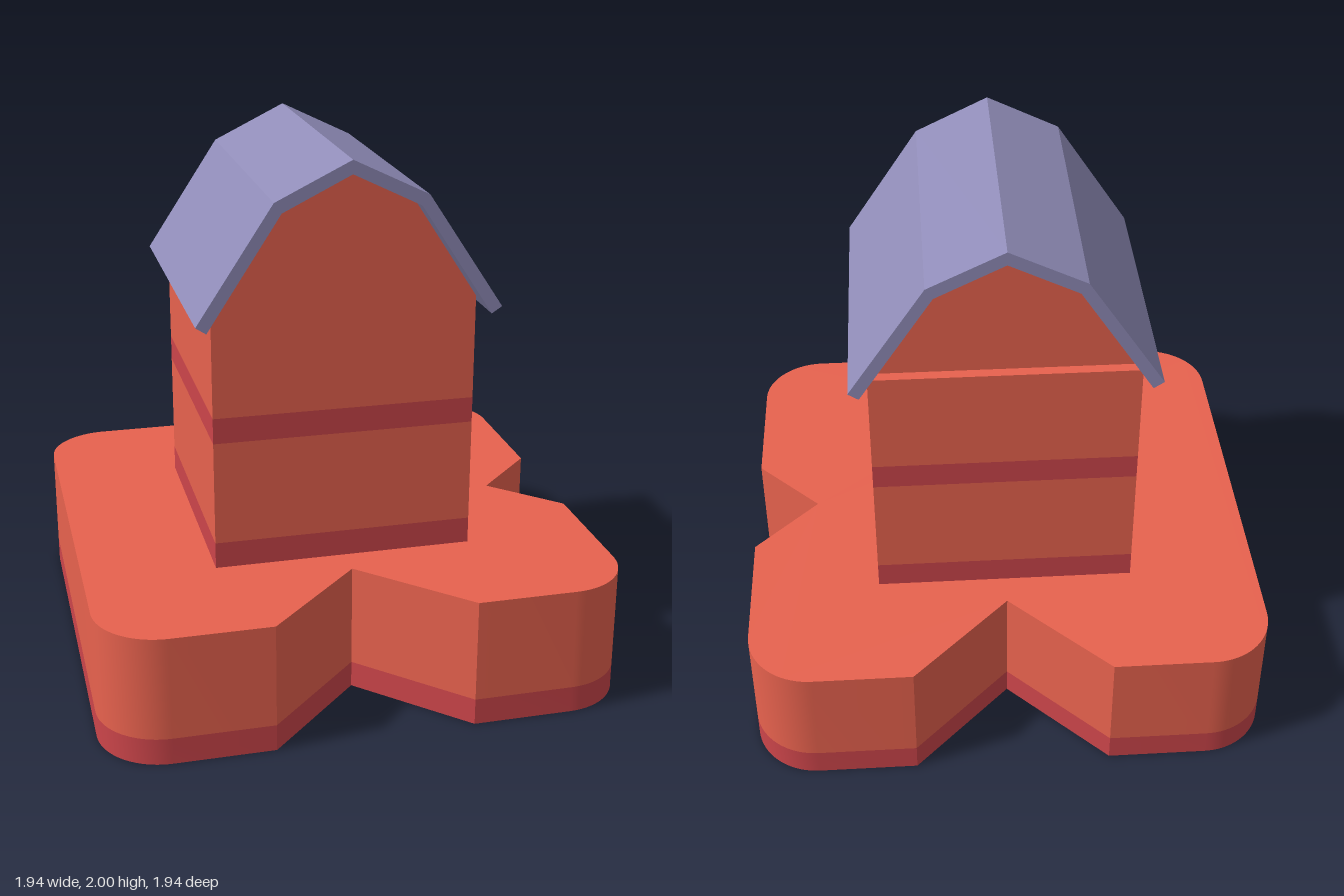
import * as THREE from 'three';
import { toCreasedNormals } from 'three/addons/utils/BufferGeometryUtils.js';

const paint = (color) => new THREE.MeshStandardMaterial({ color });
const red = paint(0xe8624e);
const darkRed = paint(0xcc454a);
const slate = paint(0x908cb8);

function add(group, name, geometry, material) {
  const mesh = new THREE.Mesh(geometry, material);
  mesh.name = name;
  group.add(mesh);
  return mesh;
}

// Square base outline with rounded corners and three V-shaped notches
function baseShape() {
  const h = 0.972, r = 0.24, c = h - r;
  const s = new THREE.Shape();
  s.moveTo(-c, -h);
  s.lineTo(-0.365, -h);
  s.lineTo(0, -0.607); // front notch
  s.lineTo(0.365, -h);
  s.lineTo(c, -h);
  s.absarc(c, -c, r, -Math.PI / 2, 0, false);
  s.lineTo(h, -0.243);
  s.lineTo(0.73, 0); // side notch
  s.lineTo(h, 0.243);
  s.lineTo(h, c);
  s.absarc(c, c, r, 0, Math.PI / 2, false);
  s.lineTo(0.365, h);
  s.lineTo(0, 0.607); // back notch
  s.lineTo(-0.365, h);
  s.lineTo(-c, h);
  s.absarc(-c, c, r, Math.PI / 2, Math.PI, false);
  s.lineTo(-h, -c);
  s.absarc(-c, -c, r, Math.PI, Math.PI * 1.5, false);
  return s;
}

// Extrudes a mirrored profile along z; points run from the left eave to the ridge
function prism(shape, z0, z1) {
  const g = new THREE.ExtrudeGeometry(shape, { depth: z1 - z0, bevelEnabled: false });
  return g.translate(0, 0, z0);
}

export function createModel() {
  const model = new THREE.Group();
  model.name = 'barnOnBase';

  // Base slab with dark skirting
  const outline = baseShape();
  for (const [name, y0, y1, material] of [['baseSkirting', 0, 0.1, darkRed], ['baseSlab', 0.1, 0.488, red]]) {
    const g = new THREE.ExtrudeGeometry(outline, { depth: y1 - y0, bevelEnabled: false, curveSegments: 10 });
    g.rotateX(-Math.PI / 2).translate(0, y0, 0);
    add(model, name, toCreasedNormals(g, 0.5), material);
  }

  // Two storeys, each with a dark band at its foot
  const layers = [
    ['lowerBand', 0.488, 0.587, darkRed],
    ['lowerWalls', 0.587, 0.977, red],
    ['upperBand', 0.977, 1.073, darkRed],
    ['upperWalls', 1.073, 1.463, red],
  ];
  for (const [name, y0, y1, material] of layers) {
    add(model, name, new THREE.BoxGeometry(0.97, y1 - y0, 0.97), material).position.y = (y0 + y1) / 2;
  }

  // Gable block under the roof, set back slightly at the rear
  const half = [[0.485, 1.463], [0.248, 1.828]];
  const gable = new THREE.Shape([
    ...half.map(([x, y]) => new THREE.Vector2(x, y)),
    new THREE.Vector2(0, 1.95),
    ...half.map(([x, y]) => new THREE.Vector2(-x, y)).reverse(),
  ]);
  add(model, 'gable', prism(gable, -0.445, 0.485), red);

  // Gambrel roof shell
  const outer = [[0.553, 1.445], [0.275, 1.866], [0, 2], [-0.275, 1.866], [-0.553, 1.445]];
  const inner = [[-0.515, 1.42], [-0.248, 1.828], [0, 1.95], [0.248, 1.828], [0.515, 1.42]];
  const roof = new THREE.Shape([...outer, ...inner].map(([x, y]) => new THREE.Vector2(x, y)));
  add(model, 'roof', prism(roof, -0.535, 0.573), slate);

  return model;
}
